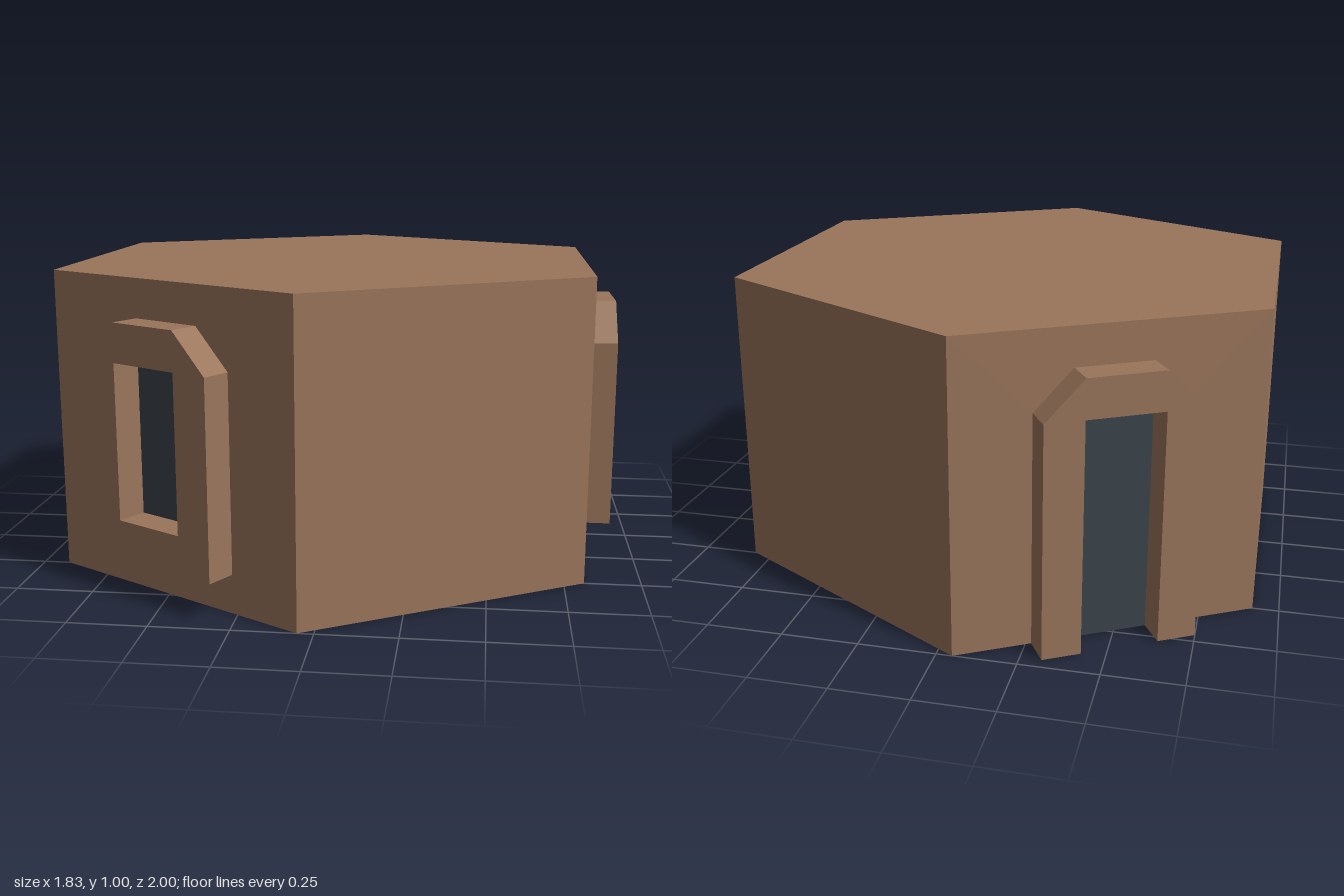
import * as THREE from 'three';

const APOTHEM = Math.sqrt(3) / 2;
const DEPTH = 0.1;

const brown = new THREE.MeshStandardMaterial({ name: 'clay brown', color: 0x9a755b, side: THREE.DoubleSide });
const glass = new THREE.MeshStandardMaterial({ name: 'dark glass', color: 0x3a434b, side: THREE.DoubleSide });

// Outlines start at bottom right and run anticlockwise
const archOutline = (y) => [[0.25, y], [0.25, 0.75], [0.125, 0.875], [-0.125, 0.875], [-0.25, 0.75], [-0.25, y]];
const openingOutline = (y) => [[0.125, y], [0.125, 0.75], [-0.125, 0.75], [-0.125, y]];
const toVectors = (pts) => pts.map(([x, y]) => new THREE.Vector2(x, y));

// Flat panel with a cut-out: a hole, or a notch when the cut reaches the ground
function panel(outer, cut, isNotch) {
  if (isNotch) return new THREE.ShapeGeometry(new THREE.Shape(toVectors([...outer, ...[...cut].reverse()])));
  const shape = new THREE.Shape(toVectors(outer));
  if (cut) shape.holes.push(new THREE.Path(toVectors(cut)));
  return new THREE.ShapeGeometry(shape);
}

// Thin band joining an outline on the wall to the same outline at frame depth
function band(pts, closed) {
  const pos = [];
  const count = closed ? pts.length : pts.length - 1;
  for (let i = 0; i < count; i++) {
    const [ax, ay] = pts[i];
    const [bx, by] = pts[(i + 1) % pts.length];
    pos.push(ax, ay, 0, bx, by, 0, bx, by, DEPTH, ax, ay, 0, bx, by, DEPTH, ax, ay, DEPTH);
  }
  const g = new THREE.BufferGeometry();
  g.setAttribute('position', new THREE.Float32BufferAttribute(pos, 3));
  g.computeVertexNormals();
  return g;
}

function add(parent, name, geometry, material, z = 0) {
  const mesh = new THREE.Mesh(geometry, material);
  mesh.name = name;
  mesh.position.z = z;
  parent.add(mesh);
}

// One wall of the shell, with an optional window or door pushed outwards
function makeWall(kind) {
  const wall = new THREE.Group();
  wall.name = kind ? kind + 'Wall' : 'plainWall';
  const rect = [[0.5, 0], [0.5, 1], [-0.5, 1], [-0.5, 0]];
  if (!kind) {
    add(wall, 'wallPanel', panel(rect), brown);
    return wall;
  }
  const isDoor = kind === 'door';
  const arch = archOutline(isDoor ? 0 : 0.125);
  const opening = openingOutline(isDoor ? 0 : 0.25);
  add(wall, 'wallPanel', panel(rect, arch, isDoor), brown);
  add(wall, kind + 'FrameSides', band(arch, !isDoor), brown);
  add(wall, kind + 'FrameFace', panel(arch, opening, isDoor), brown, DEPTH);
  add(wall, kind + 'Reveal', band(opening, !isDoor), brown);
  add(wall, kind + 'Pane', panel(opening), glass);
  return wall;
}

export function createModel() {
  const model = new THREE.Group();
  model.name = 'hexagonalHut';
  const hut = new THREE.Group();
  hut.name = 'shell';
  hut.position.x = -0.05;
  model.add(hut);

  // Six walls around the open-bottomed shell
  [null, 'window', null, 'door', null, 'window'].forEach((kind, i) => {
    const angle = Math.PI / 6 + (i * Math.PI) / 3;
    const wall = makeWall(kind);
    wall.rotation.y = angle;
    wall.position.set(Math.sin(angle) * APOTHEM, 0, Math.cos(angle) * APOTHEM);
    hut.add(wall);
  });

  // Flat roof
  const roof = new THREE.Mesh(new THREE.CircleGeometry(1, 6, Math.PI / 2), brown);
  roof.name = 'roof';
  roof.rotation.x = -Math.PI / 2;
  roof.position.y = 1;
  hut.add(roof);
  return model;
}
